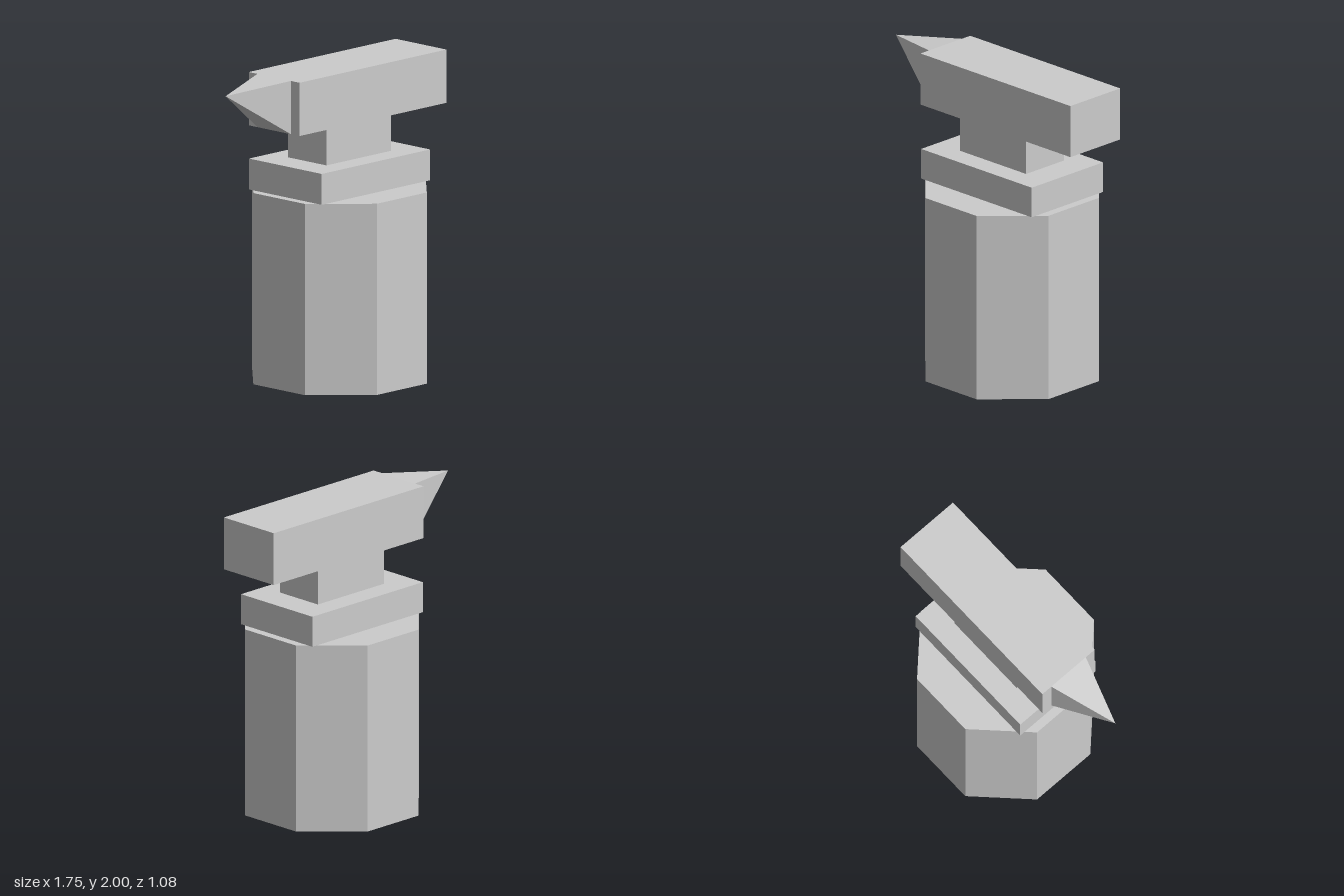
import * as THREE from 'three';

export function createModel() {
  const group = new THREE.Group();
  const grey = new THREE.MeshStandardMaterial({ color: 0xcccccc, flatShading: true, side: THREE.DoubleSide });
  grey.name = 'grey';

  const add = (name, geometry, x, y) => {
    const mesh = new THREE.Mesh(geometry, grey);
    mesh.name = name;
    mesh.position.set(x, y, 0);
    group.add(mesh);
    return mesh;
  };

  // Octagonal stump: hollow, open at the bottom, closed on top
  const radius = 0.54 / Math.cos(Math.PI / 8);
  const walls = new THREE.CylinderGeometry(radius, radius, 1.22, 8, 1, true, Math.PI / 8);
  add('stumpWalls', walls, 0.145, 0.61);
  const top = new THREE.CircleGeometry(radius, 8, Math.PI / 8).rotateX(-Math.PI / 2);
  add('stumpTop', top, 0.145, 1.22);

  // Foot, waist and body of the anvil: x range, y range, depth
  const blocks = [
    ['foot', -0.34, 0.63, 1.22, 1.417, 0.63],
    ['waist', -0.145, 0.435, 1.417, 1.66, 0.335],
    ['body', -0.44, 0.875, 1.66, 2, 0.44],
  ];
  for (const [name, x0, x1, y0, y1, depth] of blocks) {
    add(name, new THREE.BoxGeometry(x1 - x0, y1 - y0, depth), (x0 + x1) / 2, (y0 + y1) / 2);
  }

  // Horn: a box whose outer end is drawn together to a raised tip
  const horn = new THREE.BoxGeometry(0.435, 0.34, 0.29);
  const p = horn.attributes.position;
  for (let i = 0; i < p.count; i++) {
    if (p.getX(i) < 0) p.setXYZ(i, -0.2175, 0.12, 0);
  }
  horn.computeVertexNormals();
  add('horn', horn, -0.6575, 1.83);

  return group;
}
